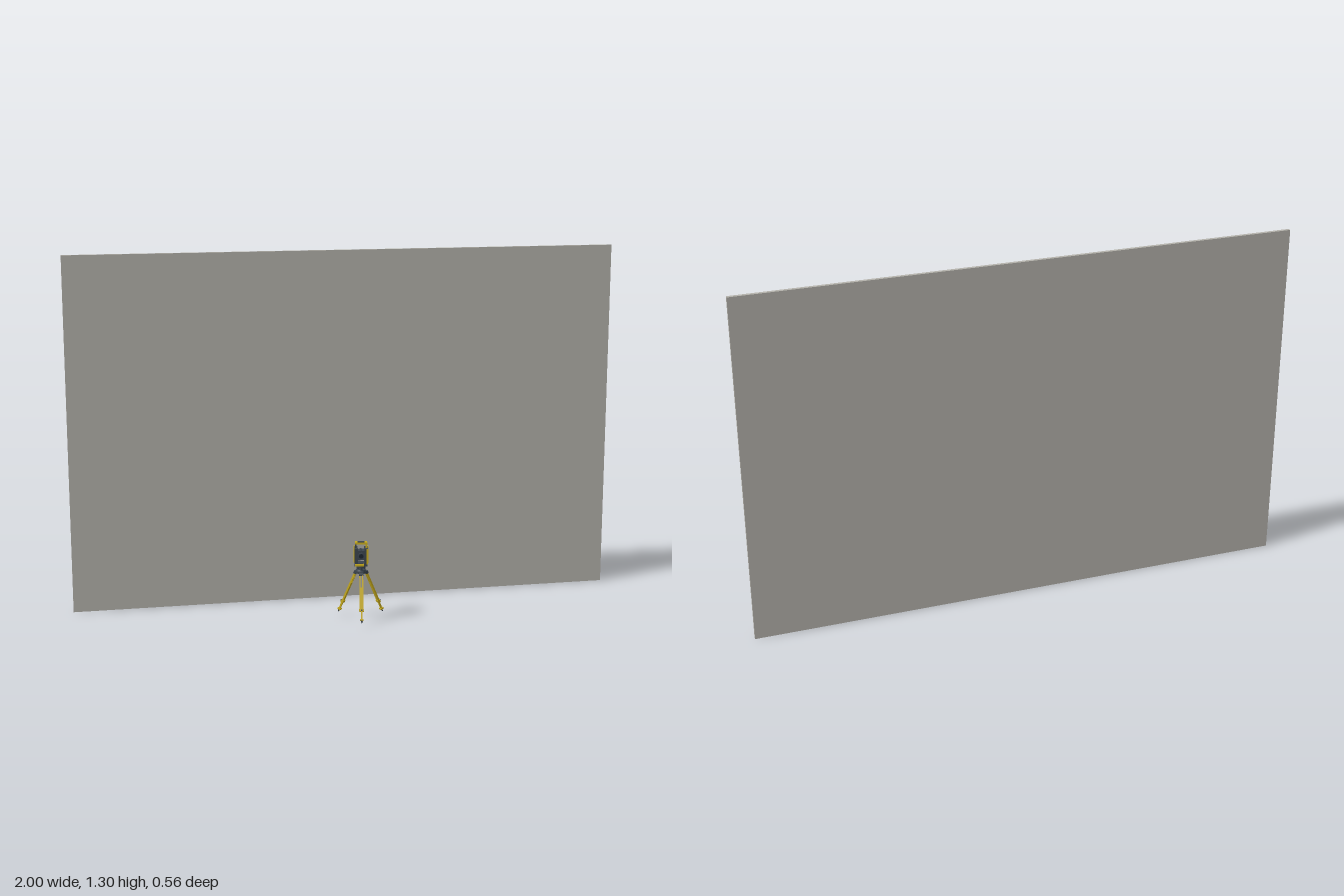
import * as THREE from 'three';

const mat = (name, color) => {
  const m = new THREE.MeshStandardMaterial({ color });
  m.name = name;
  return m;
};

export function createModel() {
  const concrete = mat('concrete grey', 0xb3b1aa);
  const yellow = mat('survey yellow', 0xc9ad1e);
  const dark = mat('dark slate', 0x3b444c);
  const glass = mat('lens glass', 0x1b2530);
  const model = new THREE.Group();

  const add = (parent, name, geo, material, x = 0, y = 0, z = 0) => {
    const mesh = new THREE.Mesh(geo, material);
    mesh.name = name;
    mesh.position.set(x, y, z);
    parent.add(mesh);
    return mesh;
  };
  const box = (w, h, d) => new THREE.BoxGeometry(w, h, d);
  const cyl = (r1, r2, h, n = 24) => new THREE.CylinderGeometry(r1, r2, h, n);

  // Large slanted wall panel
  const wall = add(model, 'wall', box(2.026, 1.305, 0.0125), concrete, 0, 0.6525, -0.103);
  wall.rotation.y = 0.169;

  const station = new THREE.Group();
  station.name = 'surveyStation';
  station.position.set(0.05, 0, 0.184);
  model.add(station);

  // Tripod legs, each modelled along its own y axis and then tilted outward
  const top = new THREE.Vector3(0, 0.181, 0.019);
  const foot = new THREE.Vector3(0, 0.016, 0.093);
  const length = top.distanceTo(foot);
  for (let i = 0; i < 3; i++) {
    const turn = new THREE.Group();
    turn.name = 'tripodLeg';
    turn.rotation.y = i * Math.PI * 2 / 3;
    station.add(turn);
    const leg = new THREE.Group();
    leg.position.copy(foot);
    leg.quaternion.setFromUnitVectors(new THREE.Vector3(0, 1, 0), top.clone().sub(foot).normalize());
    turn.add(leg);
    for (const s of [-1, 1]) add(leg, 'upperRail', box(0.004, length * 0.74, 0.006), yellow, s * 0.005, length * 0.63, 0);
    add(leg, 'lowerLeg', box(0.0065, length * 0.66, 0.006), yellow, 0, length * 0.38, 0);
    add(leg, 'legClamp', box(0.017, 0.01, 0.01), yellow, 0, length * 0.26, 0);
    add(leg, 'clampKnob', cyl(0.003, 0.003, 0.005, 12), dark, 0, length * 0.26, 0.007).rotation.x = Math.PI / 2;
    add(leg, 'legHinge', box(0.016, 0.011, 0.01), dark, 0, length - 0.005, 0);
    add(leg, 'footPlate', box(0.013, 0.005, 0.012), yellow, 0, 0.013, 0);
    add(leg, 'footSpike', cyl(0.0045, 0.001, 0.012, 12), dark, 0, 0.006, 0);
  }

  // Tripod head and levelling base
  add(station, 'tripodHead', cyl(0.02, 0.02, 0.008), dark, 0, 0.181, 0);
  add(station, 'centreScrew', cyl(0.005, 0.005, 0.016, 16), dark, 0, 0.173, 0);
  add(station, 'lowerBasePlate', cyl(0.016, 0.018, 0.005), dark, 0, 0.1875, 0);
  for (let i = 0; i < 3; i++) {
    const a = i * Math.PI * 2 / 3;
    add(station, 'levellingScrew', cyl(0.005, 0.005, 0.01, 14), dark, Math.sin(a) * 0.013, 0.194, Math.cos(a) * 0.013);
  }
  add(station, 'upperBasePlate', cyl(0.017, 0.017, 0.006), dark, 0, 0.202, 0);
  add(station, 'instrumentBase', box(0.046, 0.01, 0.034), dark, 0, 0.21, 0);
  add(station, 'keypadHousing', box(0.032, 0.007, 0.012), yellow, -0.006, 0.211, 0.0205);

  // Yoke standards with yellow outer panels
  for (const s of [-1, 1]) {
    add(station, 'yokeStandard', box(0.012, 0.058, 0.04), dark, s * 0.018, 0.241, 0);
    add(station, 'yokePanel', box(0.003, 0.062, 0.015), yellow, s * 0.0245, 0.245, 0);
    add(station, 'handlePost', box(0.006, 0.022, 0.012), s > 0 ? yellow : dark, s * 0.019, 0.278, 0);
  }
  add(station, 'frontTrim', box(0.005, 0.056, 0.003), yellow, 0.0215, 0.242, 0.0205);

  // Telescope between the standards
  add(station, 'telescopeBody', box(0.024, 0.034, 0.03), dark, 0, 0.244, 0);
  add(station, 'telescopeBarrel', cyl(0.011, 0.011, 0.044), dark, 0, 0.244, 0).rotation.x = Math.PI / 2;
  add(station, 'objectiveLens', cyl(0.008, 0.008, 0.002), glass, 0, 0.244, 0.0225).rotation.x = Math.PI / 2;
  add(station, 'eyepiece', cyl(0.005, 0.007, 0.006, 16), dark, 0, 0.244, -0.024).rotation.x = -Math.PI / 2;
  add(station, 'sight', box(0.005, 0.004, 0.02), dark, 0, 0.263, 0);

  // Carrying handle
  add(station, 'handleGrip', box(0.044, 0.006, 0.023), yellow, 0, 0.288, 0);
  add(station, 'handlePad', box(0.024, 0.002, 0.017), dark, 0, 0.2912, 0);

  return model;
}
